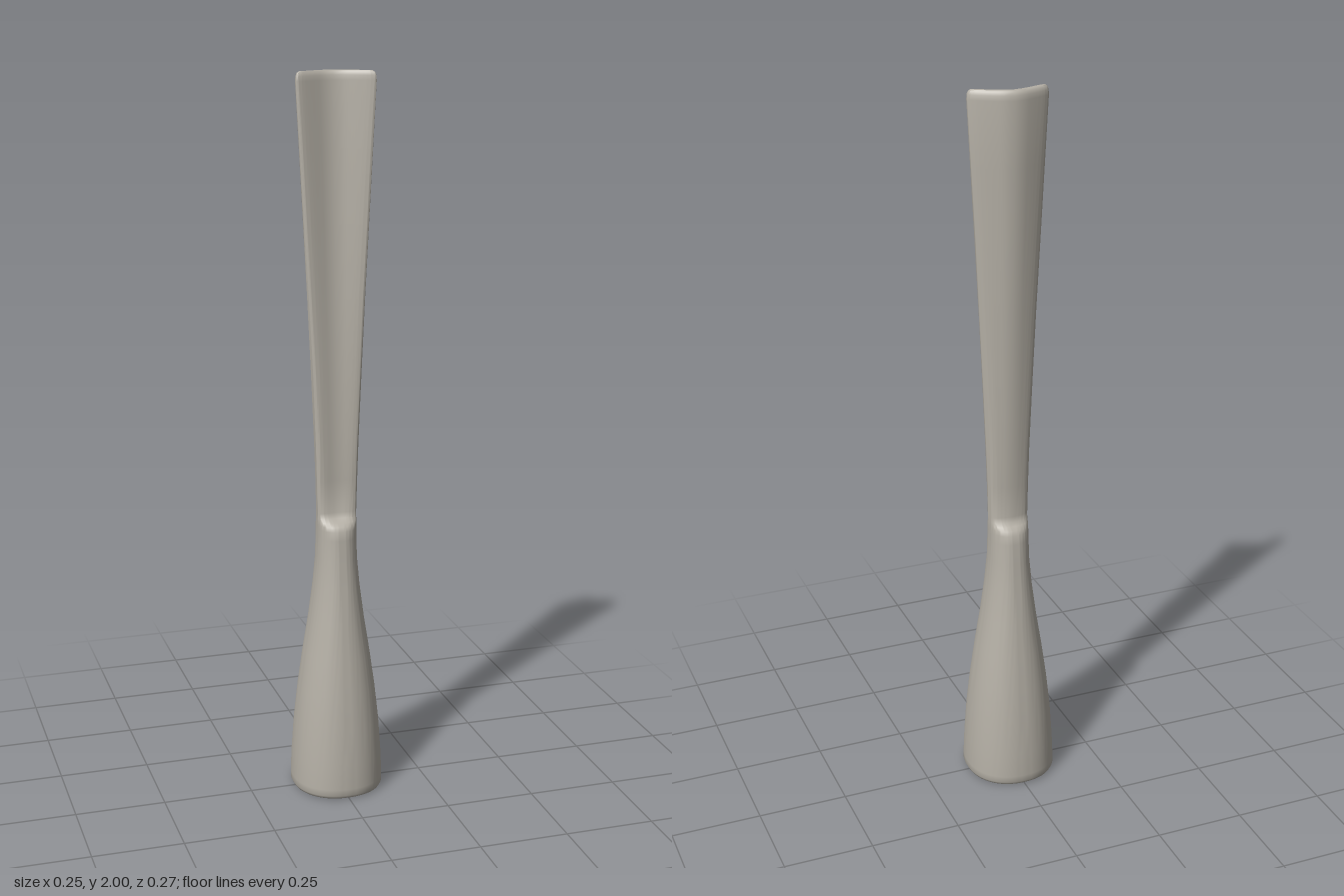
import * as THREE from 'three';
import { toCreasedNormals } from 'three/addons/utils/BufferGeometryUtils.js';

const SIDES = 96;

// Each section: [height, half width, half thickness, centre z, bend, twist, squareness]
const HANDLE = [
  [0.000, 0.116, 0.122, 0, 0, 0, 2.2],
  [0.004, 0.123, 0.129, 0, 0, 0, 2.2],
  [0.012, 0.127, 0.133, 0, 0, 0, 2.2],
  [0.030, 0.127, 0.133, 0, 0, 0, 2.2],
  [0.100, 0.124, 0.130, 0, 0, 0, 2.2],
  [0.200, 0.117, 0.123, 0, 0, 0, 2.2],
  [0.300, 0.106, 0.113, 0, 0, 0, 2.2],
  [0.400, 0.092, 0.101, 0, 0, 0, 2.2],
  [0.500, 0.076, 0.088, 0, 0, 0, 2.2],
  [0.600, 0.063, 0.076, 0, 0, 0, 2.2],
  [0.680, 0.056, 0.067, 0, 0, 0, 2.2],
  [0.740, 0.055, 0.062, 0, 0, 0, 2.2],
];
const SHOULDER = [
  [0.765, 0.055, 0.059, 0.001, 0, 0, 2.2],
  [0.777, 0.055, 0.052, 0.001, 0.001, 0, 2.4],
  [0.786, 0.055, 0.041, 0.000, 0.003, 0, 2.7],
  [0.795, 0.055, 0.028, -0.003, 0.007, 0, 3.2],
  [0.810, 0.055, 0.023, -0.005, 0.010, 0.001, 3.6],
];
const BLADE = [
  [0.900, 0.057, 0.022, -0.006, 0.012, 0.001, 4],
  [1.000, 0.060, 0.021, -0.008, 0.015, 0.002, 4],
  [1.200, 0.068, 0.020, -0.013, 0.021, 0.004, 4],
  [1.400, 0.077, 0.018, -0.019, 0.028, 0.006, 4],
  [1.600, 0.087, 0.017, -0.026, 0.036, 0.008, 4],
  [1.800, 0.097, 0.015, -0.032, 0.043, 0.010, 4],
  [1.975, 0.106, 0.014, -0.038, 0.050, 0.011, 4],
  [1.988, 0.105, 0.013, -0.038, 0.050, 0.011, 4],
  [1.996, 0.102, 0.010, -0.038, 0.049, 0.011, 4],
  [2.000, 0.097, 0.006, -0.038, 0.047, 0.010, 4],
];

// Rounded bar whose centre line can be bent into a soft V and twisted
function sectionPoint([y, w, t, zc, bend, twist, n], i) {
  const a = (i / SIDES) * Math.PI * 2;
  const pow = (v) => (Math.abs(v) < 1e-9 ? 0 : Math.sign(v) * Math.abs(v) ** (2 / n));
  const u = pow(Math.cos(a));
  const z = zc + bend * (Math.sqrt(u * u + 0.06) - 0.245) + twist * u + t * pow(Math.sin(a));
  return [u * w, y, z];
}

function loft(sections) {
  const positions = [];
  const index = [];
  for (const s of sections) {
    for (let i = 0; i < SIDES; i++) positions.push(...sectionPoint(s, i));
  }
  const at = (row, i) => row * SIDES + (i % SIDES);

  // Side walls
  for (let r = 0; r < sections.length - 1; r++) {
    for (let i = 0; i < SIDES; i++) {
      const a = at(r, i), b = at(r, i + 1), c = at(r + 1, i), d = at(r + 1, i + 1);
      index.push(a, c, b, b, c, d);
    }
  }
  // End caps, bridged straight across from front to back
  const top = sections.length - 1;
  for (let i = 1; i <= SIDES / 2; i++) {
    for (const row of [0, top]) {
      const p = at(row, i), p0 = at(row, i - 1);
      const q = at(row, SIDES - i), q0 = at(row, SIDES - i + 1);
      if (row === top) index.push(q, p, p0, q, p0, q0);
      else index.push(q, p0, p, q, q0, p0);
    }
  }
  const geometry = new THREE.BufferGeometry();
  geometry.setAttribute('position', new THREE.Float32BufferAttribute(positions, 3));
  geometry.setIndex(index);
  return toCreasedNormals(geometry, 0.75);
}

export function createModel() {
  const group = new THREE.Group();
  group.name = 'shoehornTool';
  const material = new THREE.MeshStandardMaterial({ color: 0xb5b0a6 });
  material.name = 'warm grey';

  // Flared handle, scooped shoulder and curved blade form one continuous body
  const body = new THREE.Mesh(loft([...HANDLE, ...SHOULDER, ...BLADE]), material);
  body.name = 'handleAndBlade';
  group.add(body);
  return group;
}
